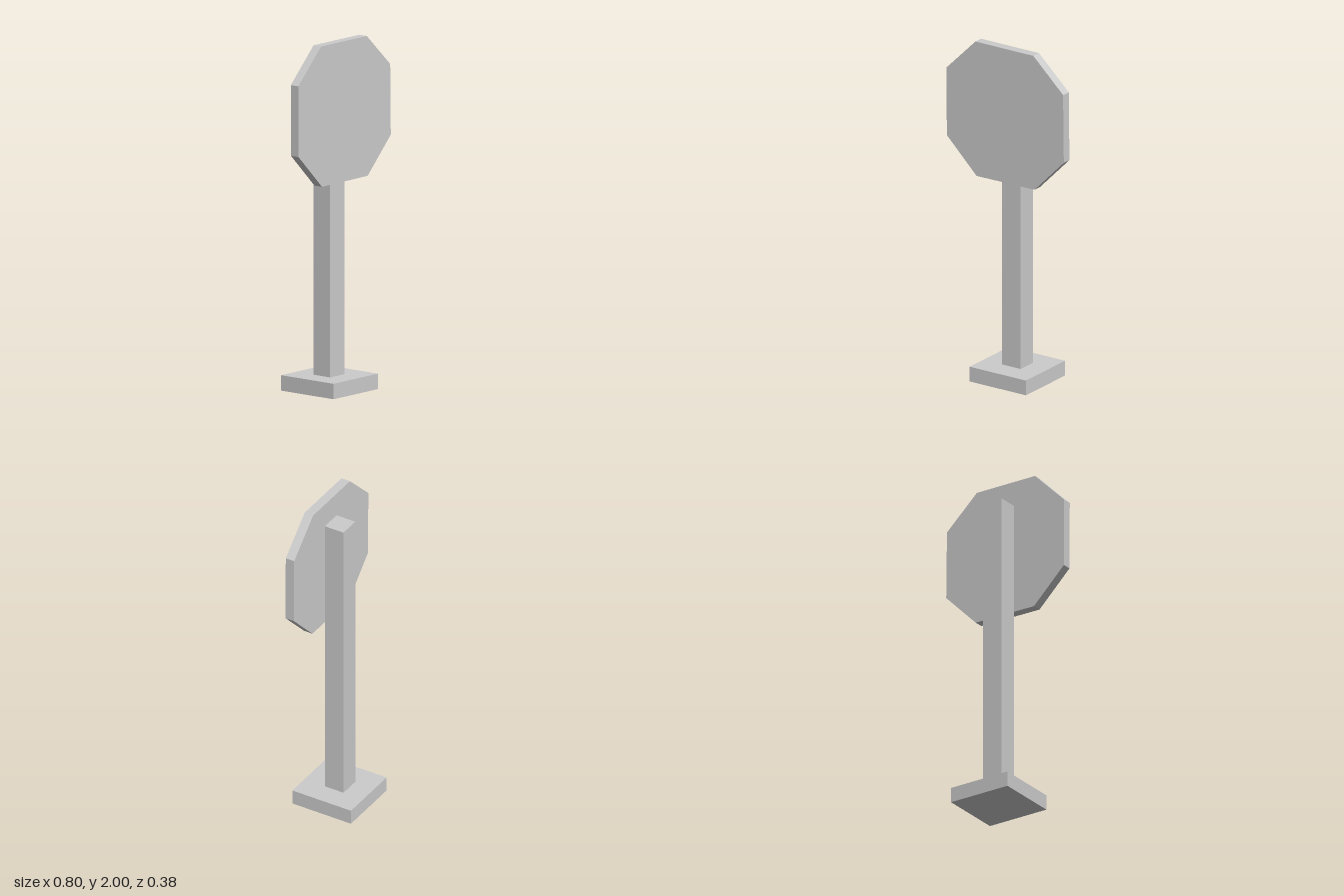
import * as THREE from 'three';

const material = new THREE.MeshStandardMaterial({ color: 0xcccccc, flatShading: true });

function addMesh(group, name, geometry, x, y, z) {
  const mesh = new THREE.Mesh(geometry, material);
  mesh.name = name;
  mesh.position.set(x, y, z);
  group.add(mesh);
}

export function createModel() {
  const group = new THREE.Group();
  group.name = 'roadSign';

  // Square foot and upright post, standing slightly off centre
  addMesh(group, 'base', new THREE.BoxGeometry(0.383, 0.088, 0.383), 0.004, 0.044, -0.001);
  addMesh(group, 'post', new THREE.BoxGeometry(0.126, 1.765, 0.122), 0.003, 0.9705, -0.004);

  // Octagonal plate on the front of the post, slightly irregular
  const outline = [
    [0.2, 1.203], [0.4, 1.407], [0.395, 1.81], [0.192, 2],
    [-0.203, 2], [-0.4, 1.803], [-0.398, 1.4], [-0.195, 1.2],
  ].map(([x, y]) => new THREE.Vector2(x, y));
  const plate = new THREE.ExtrudeGeometry(new THREE.Shape(outline), { depth: 0.055, bevelEnabled: false });
  addMesh(group, 'signPlate', plate, 0, 0, 0.057);

  return group;
}
